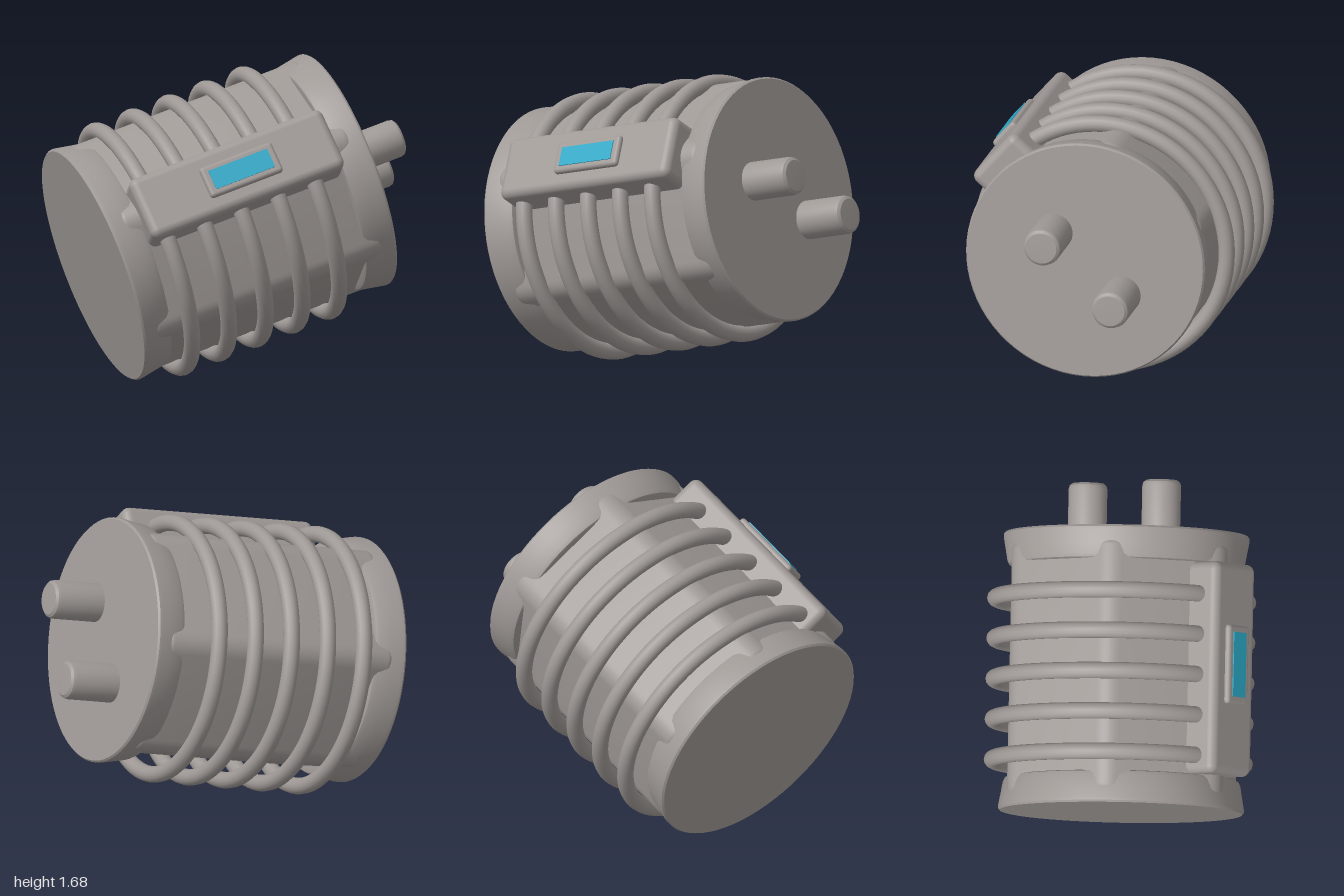
import * as THREE from 'three';
import { toCreasedNormals } from 'three/addons/utils/BufferGeometryUtils.js';
import { RoundedBoxGeometry } from 'three/addons/geometries/RoundedBoxGeometry.js';

const grey = new THREE.MeshStandardMaterial({ color: 0x9f9996 });
grey.name = 'warm grey metal';
const blue = new THREE.MeshStandardMaterial({ color: 0x2ba8c6 });
blue.name = 'blue display';

// Local frame: y runs along the cylinder, z points out through the control box
const HALF = 0.7525;

function part(parent, name, geometry, material, x = 0, y = 0, z = 0) {
  const mesh = new THREE.Mesh(geometry, material);
  mesh.name = name;
  mesh.position.set(x, y, z);
  parent.add(mesh);
  return mesh;
}

// Lathe from [radius, height] pairs, keeping hard edges sharp
function turned(points, segments) {
  const profile = points.map(([r, h]) => new THREE.Vector2(r, h));
  return toCreasedNormals(new THREE.LatheGeometry(profile, segments), 0.6);
}

// Hexagonal prism with rounded edges and ends
function hexBody(radius, half, bevel) {
  const corner = (k) => {
    const a = Math.PI / 2 + (k * Math.PI) / 3;
    return new THREE.Vector2(Math.cos(a), Math.sin(a)).multiplyScalar(radius - bevel);
  };
  const shape = new THREE.Shape();
  for (let k = 0; k < 6; k++) {
    const c = corner(k);
    const from = c.clone().lerp(corner(k + 5), 0.08);
    const to = c.clone().lerp(corner(k + 1), 0.08);
    if (k === 0) shape.moveTo(from.x, from.y);
    else shape.lineTo(from.x, from.y);
    shape.quadraticCurveTo(c.x, c.y, to.x, to.y);
  }
  shape.closePath();
  const depth = 2 * (half - bevel);
  const g = new THREE.ExtrudeGeometry(shape, {
    depth, curveSegments: 6, bevelEnabled: true,
    bevelThickness: bevel, bevelSize: bevel, bevelSegments: 5,
  });
  g.translate(0, 0, -depth / 2);
  g.rotateX(-Math.PI / 2);
  return toCreasedNormals(g, 0.6);
}

export function createModel() {
  const model = new THREE.Group();
  model.name = 'canister';

  part(model, 'hexagonalBody', hexBody(0.672, 0.685, 0.04), grey);

  // End caps, with a rounded rim and a slight taper toward the body
  const capProfile = [
    [0.5, 0.575], [0.615, 0.575], [0.632, 0.58], [0.642, 0.6], [0.652, 0.66],
    [0.664, 0.725], [0.664, 0.742], [0.655, HALF], [0, HALF],
  ];
  const capGeometry = turned(capProfile, 72);
  part(model, 'pinEndCap', capGeometry, grey);
  part(model, 'plainEndCap', capGeometry, grey).rotation.x = Math.PI;

  // Five hoops around the body
  const hoop = new THREE.TorusGeometry(0.682, 0.045, 14, 80).rotateX(Math.PI / 2);
  for (let i = -2; i <= 2; i++) {
    part(model, 'hoop', hoop, grey, 0, -0.04 + i * 0.219, -0.025);
  }

  // Connector pins
  const pin = turned([
    [0.105, -0.03], [0.105, 0.255], [0.1, 0.275], [0.085, 0.287], [0, 0.29],
  ], 32);
  for (const z of [0.23, -0.27]) part(model, 'connectorPin', pin, grey, 0, HALF, z);

  // Control box with a raised frame and display
  const box = new THREE.Group();
  box.name = 'controlBox';
  model.add(box);
  part(box, 'housing', new RoundedBoxGeometry(0.36, 1.15, 0.24, 4, 0.045), grey, 0, 0, 0.635);
  part(box, 'displayFrame', new RoundedBoxGeometry(0.18, 0.43, 0.06, 3, 0.02), grey, 0, 0.02, 0.753);
  part(box, 'display', new THREE.BoxGeometry(0.11, 0.35, 0.008), blue, 0, 0.02, 0.784);

  // Tilt the whole canister into its resting pose
  const axis = new THREE.Vector3(0.81, 0.26, -0.525).normalize();
  const front = new THREE.Vector3(0.303, 0.581, 0.755);
  front.addScaledVector(axis, -front.dot(axis)).normalize();
  const side = new THREE.Vector3().crossVectors(axis, front);
  model.quaternion.setFromRotationMatrix(new THREE.Matrix4().makeBasis(side, axis, front));
  model.position.set(0.003, 0.845, 0.005);

  const root = new THREE.Group();
  root.name = 'model';
  root.add(model);
  return root;
}
